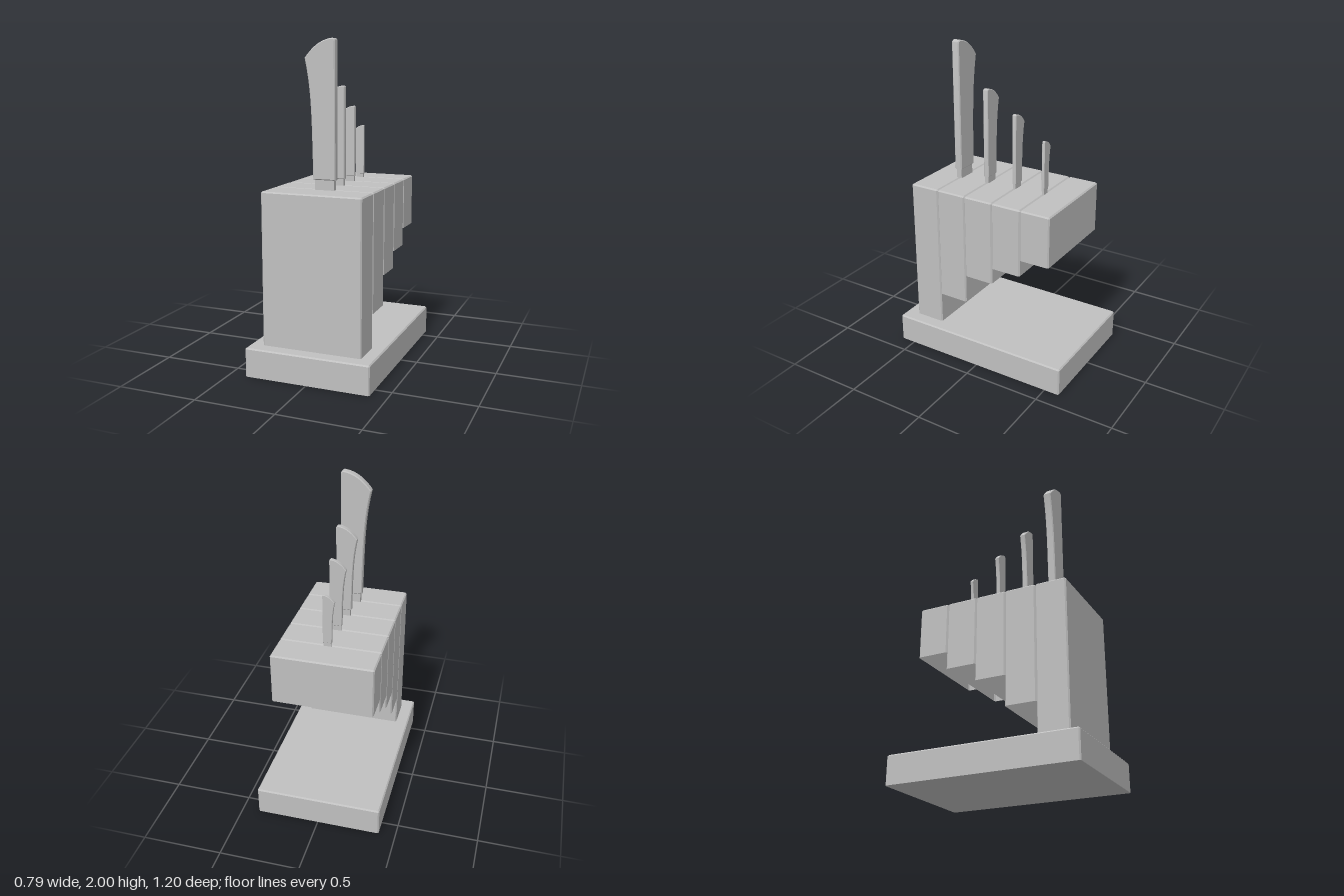
import * as THREE from 'three';
import { toCreasedNormals } from 'three/addons/utils/BufferGeometryUtils.js';

// Corner-chamfered rectangle, counter-clockwise seen from above
function ring(hx, hz, c, y) {
  return [
    [hx, hz - c], [hx, -hz + c], [hx - c, -hz], [-hx + c, -hz],
    [-hx, -hz + c], [-hx, hz - c], [-hx + c, hz], [hx - c, hz],
  ].map(([x, z]) => new THREE.Vector3(x, y, z));
}

// Box with chamfered upright and top edges; the underside is optional
function chamferedBox(w, d, y0, y1, c, closed) {
  const rings = [
    ring(w / 2, d / 2, c, y0),
    ring(w / 2, d / 2, c, y1 - c),
    ring(w / 2 - c, d / 2 - c, c * 0.5, y1),
  ];
  const pts = [];
  const n = 8;
  for (let r = 0; r < 2; r++) {
    for (let i = 0; i < n; i++) {
      const j = (i + 1) % n;
      const [a, b] = [rings[r], rings[r + 1]];
      pts.push(a[i], a[j], b[j], a[i], b[j], b[i]);
    }
  }
  for (let i = 0; i < n; i++) {
    const j = (i + 1) % n;
    pts.push(new THREE.Vector3(0, y1, 0), rings[2][i], rings[2][j]);
    if (closed) pts.push(new THREE.Vector3(0, y0, 0), rings[0][j], rings[0][i]);
  }
  const geo = new THREE.BufferGeometry().setFromPoints(pts);
  geo.computeVertexNormals();
  return geo;
}

// Handle outline with a flared butt, bevelled all round; origin at the block top
function handleGeometry() {
  const s = new THREE.Shape();
  s.moveTo(-0.055, 0.06);
  s.lineTo(0.085, 0.06);
  s.lineTo(0.085, 0.86);
  s.quadraticCurveTo(0.085, 0.88, 0.065, 0.88);
  s.quadraticCurveTo(-0.03, 0.87, -0.105, 0.768);
  s.bezierCurveTo(-0.06, 0.56, -0.064, 0.4, -0.055, 0.06);
  const b = 0.006;
  const geo = new THREE.ExtrudeGeometry(s, {
    depth: 0.05 - 2 * b, curveSegments: 10,
    bevelEnabled: true, bevelThickness: b, bevelSize: b, bevelOffset: -b, bevelSegments: 1,
  });
  geo.translate(0, 0, -0.025 + b);
  return toCreasedNormals(geo, 0.4);
}

export function createModel() {
  const model = new THREE.Group();
  model.name = 'knifeBlock';
  const grey = new THREE.MeshStandardMaterial({ color: 0xc0c0c0, side: THREE.DoubleSide });
  grey.name = 'plain grey';

  const add = (parent, name, geo) => {
    const mesh = new THREE.Mesh(geo, grey);
    mesh.name = name;
    parent.add(mesh);
    return mesh;
  };

  // Base slab
  add(model, 'base', chamferedBox(0.79, 1.196, 0, 0.18, 0.008, true));

  // Five hollow blocks, each shorter than the one in front
  const top = 1.12, pitch = 0.196, front = 0.515;
  [0.17, 0.39, 0.578, 0.685, 0.795].forEach((bottom, i) => {
    const block = add(model, `block${i + 1}`, chamferedBox(0.63, pitch, bottom, top, 0.008, false));
    block.position.z = front - pitch * (i + 0.5);
  });

  // Knives in the seams, shrinking towards the back: scale and sideways offset
  const handle = handleGeometry();
  const bolster = new THREE.BoxGeometry(0.12, 0.08, 0.036).translate(0.015, 0.025, 0);
  [[1, 0], [0.688, 0.005], [0.54, 0.008], [0.387, 0.01]].forEach(([scale, x], i) => {
    const knife = new THREE.Group();
    knife.name = `knife${i + 1}`;
    add(knife, 'handle', handle);
    add(knife, 'bolster', bolster);
    knife.scale.setScalar(scale);
    knife.position.set(x, top, front - pitch * (i + 1));
    model.add(knife);
  });

  return model;
}
